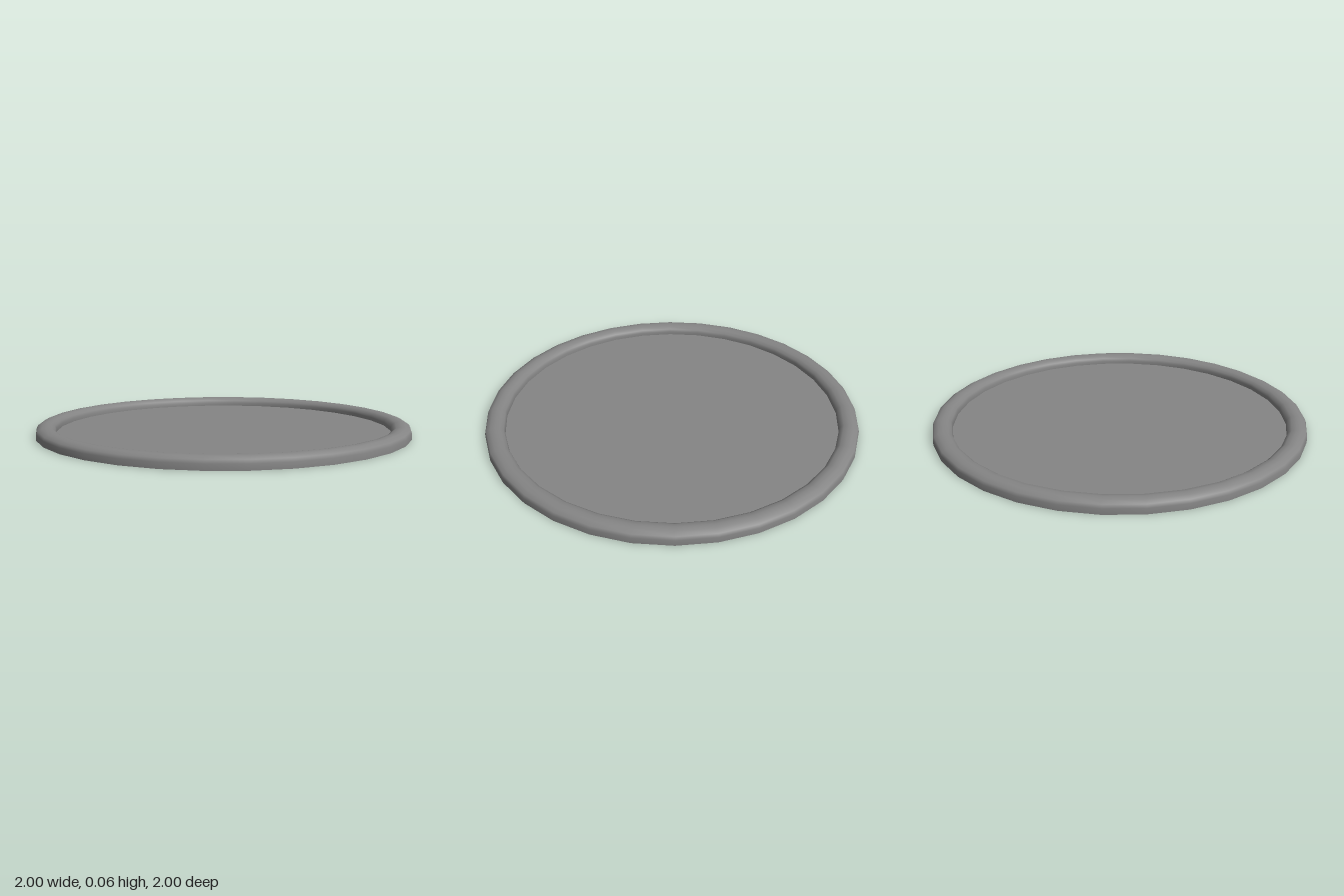
import * as THREE from 'three';

const SEGMENTS = 32;

export function createModel() {
  const group = new THREE.Group();
  group.name = 'tray';
  const material = new THREE.MeshStandardMaterial({ color: 0x858585 });

  const add = (name, geometry) => {
    const mesh = new THREE.Mesh(geometry, material);
    mesh.name = name;
    group.add(mesh);
    return mesh;
  };

  // Rounded rim: up the outer wall, over the top, down the inner wall
  const profile = [
    [1, 0], [1, 0.03], [0.993, 0.047], [0.97, 0.059], [0.945, 0.062],
    [0.92, 0.057], [0.903, 0.045], [0.897, 0.03], [0.897, 0.012],
  ].map(([r, y]) => new THREE.Vector2(r, y));
  add('rim', new THREE.LatheGeometry(profile, SEGMENTS));

  // Recessed flat floor
  const floor = add('floor', new THREE.CircleGeometry(0.897, SEGMENTS));
  floor.rotation.x = -Math.PI / 2;
  floor.position.y = 0.012;

  // Flat underside
  const base = add('underside', new THREE.CircleGeometry(1, SEGMENTS));
  base.rotation.x = Math.PI / 2;

  return group;
}
